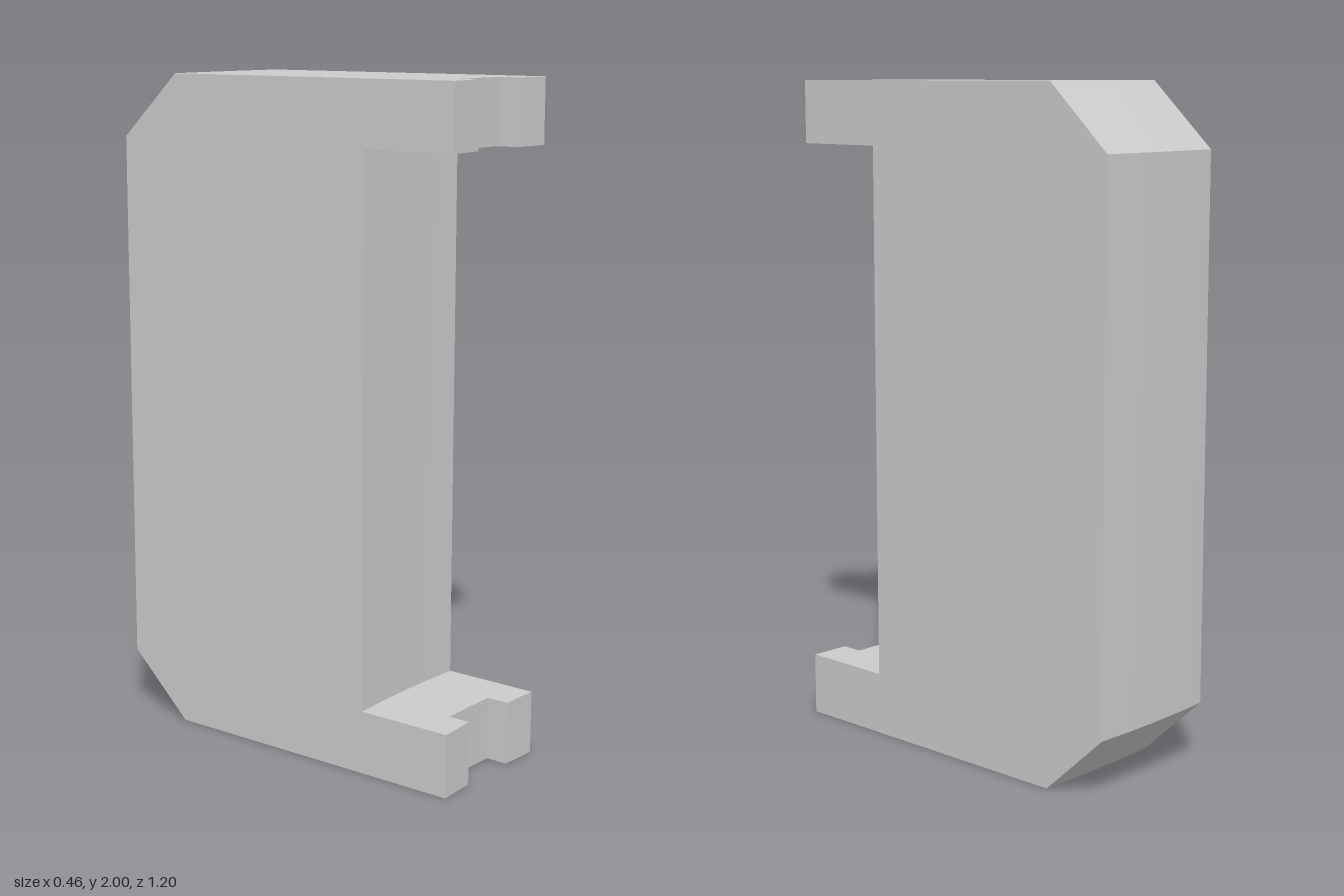
import * as THREE from 'three';
import { toCreasedNormals } from 'three/addons/utils/BufferGeometryUtils.js';

// Extrude a side profile of [z, y] points between x0 and x1, then bend and taper it.
function slab(points, x0, x1, steps) {
  const shape = new THREE.Shape(points.map(([z, y]) => new THREE.Vector2(z, y)));
  const geo = new THREE.ExtrudeGeometry(shape, { depth: x1 - x0, steps, bevelEnabled: false });
  geo.rotateY(-Math.PI / 2).translate(x1, 0, 0);
  const p = geo.attributes.position;
  for (let i = 0; i < p.count; i++) {
    const x = p.getX(i), z = p.getZ(i);
    // Slight arc across the width, and a slightly wider back
    p.setXYZ(i, x * (1 - 0.022 * z), p.getY(i), z + 0.007 * (x / 0.225) ** 2);
  }
  return toCreasedNormals(geo, 0.4);
}

export function createModel() {
  const group = new THREE.Group();
  const material = new THREE.MeshStandardMaterial({ color: 0xcccccc });
  const add = (name, geo) => {
    const mesh = new THREE.Mesh(geo, material);
    mesh.name = name;
    group.add(mesh);
  };

  const W = 0.225, TIP = 0.593, ROOT = 0.525, ARM = 0.19;

  // C-shaped body with chamfered back corners
  add('body', slab([
    [-0.397, 0], [ROOT, 0], [ROOT, ARM], [0.297, ARM],
    [0.297, 2 - ARM], [ROOT, 2 - ARM], [ROOT, 2], [-0.397, 2],
    [-0.6, 2 - ARM], [-0.6, ARM],
  ], -W, W, 4));

  // Two prongs on the end of each arm, leaving a notch between them
  for (const [label, y] of [['lower', 0], ['upper', 2 - ARM]]) {
    const profile = [[ROOT, y], [TIP, y], [TIP, y + ARM], [ROOT, y + ARM]];
    add(label + 'LeftProng', slab(profile, 0.1, W, 1));
    add(label + 'RightProng', slab(profile, -W, -0.1, 1));
  }
  return group;
}
